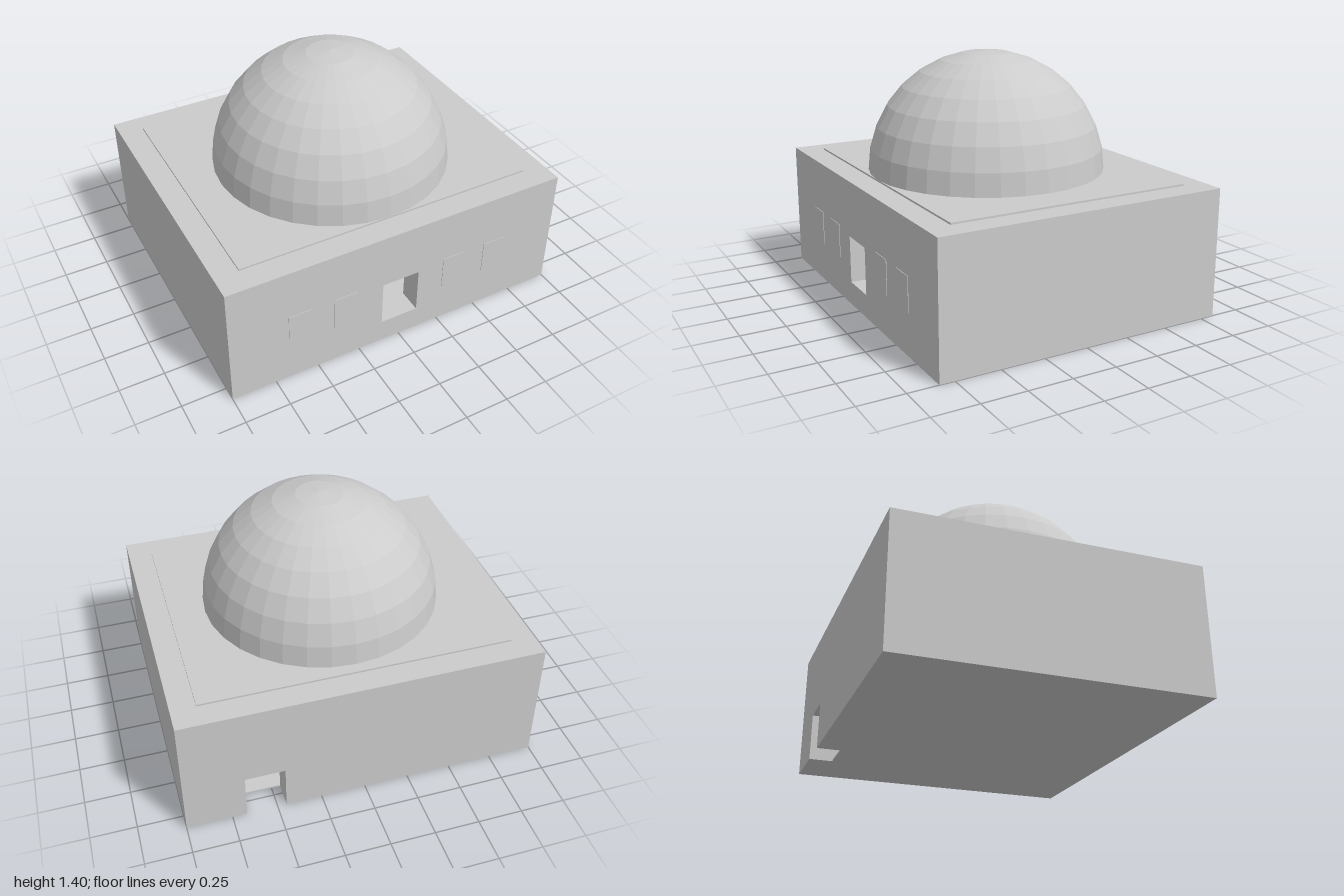
import * as THREE from 'three';

const mat = new THREE.MeshStandardMaterial({ color: 0xcccccc, flatShading: true });
const shellMat = new THREE.MeshStandardMaterial({ color: 0xcccccc, flatShading: true, side: THREE.DoubleSide });

const W = 2, H = 0.725, D = 1.665;  // outer size of the building
const T = 0.135;                    // wall thickness
const ROOF_Y = 0.735;               // top of the raised roof panel
const DOME_R = 0.67, DOME_Z = 0.03;

function polygon(points) {
  return new THREE.Shape(points.map(([x, y]) => new THREE.Vector2(x, y)));
}

function extrude(shape, depth) {
  return new THREE.ExtrudeGeometry(shape, { depth, bevelEnabled: false, curveSegments: 32 });
}

export function createModel() {
  const model = new THREE.Group();

  function add(name, geometry, x = 0, y = 0, z = 0, material = mat) {
    const mesh = new THREE.Mesh(geometry, material);
    mesh.name = name;
    mesh.position.set(x, y, z);
    model.add(mesh);
    return mesh;
  }

  // Front wall with a raised doorway
  const front = polygon([[-W / 2, 0], [W / 2, 0], [W / 2, H], [-W / 2, H]]);
  front.holes.push(polygon([[-0.11, 0.135], [-0.11, 0.405], [0.11, 0.405], [0.11, 0.135]]));
  add('frontWall', extrude(front, T), 0, 0, D / 2 - T);

  // Back wall with a doorway reaching the ground
  const back = polygon([
    [-W / 2, 0], [0.45, 0], [0.45, 0.265], [0.67, 0.265], [0.67, 0], [W / 2, 0], [W / 2, H], [-W / 2, H],
  ]);
  add('backWall', extrude(back, T), 0, 0, -D / 2);

  // Side walls and floor
  for (const side of [-1, 1]) {
    add(side > 0 ? 'leftWall' : 'rightWall', new THREE.BoxGeometry(T, H, D - 2 * T), side * (W - T) / 2, H / 2, 0);
  }
  add('floor', new THREE.BoxGeometry(W - 2 * T, 0.01, D - 2 * T), 0, 0.005, 0);

  // Roof slab, slightly raised, open under the dome
  const rx = W / 2 - T, rz = D / 2 - T;
  const roof = polygon([[-rx, -rz], [rx, -rz], [rx, rz], [-rx, rz]]);
  const opening = new THREE.Path();
  opening.absarc(0, -DOME_Z, 0.655, 0, Math.PI * 2, true);
  roof.holes.push(opening);
  add('roof', extrude(roof, T), 0, ROOF_Y - T, 0).rotation.x = -Math.PI / 2;

  // Faceted hollow dome
  add('dome', new THREE.SphereGeometry(DOME_R, 32, 8, 0, Math.PI * 2, 0, Math.PI / 2), 0, ROOF_Y - 0.005, DOME_Z, shellMat);

  // Round lamp inside the hall
  add('hallLamp', new THREE.SphereGeometry(0.16, 16, 10), 0, 0.545, DOME_Z);

  // Four almost flush window panels
  for (const x of [-0.6, -0.335, 0.335, 0.6]) {
    add('window', new THREE.BoxGeometry(0.135, 0.195, 0.01), x, 0.333, D / 2 - 0.002);
  }

  return model;
}
